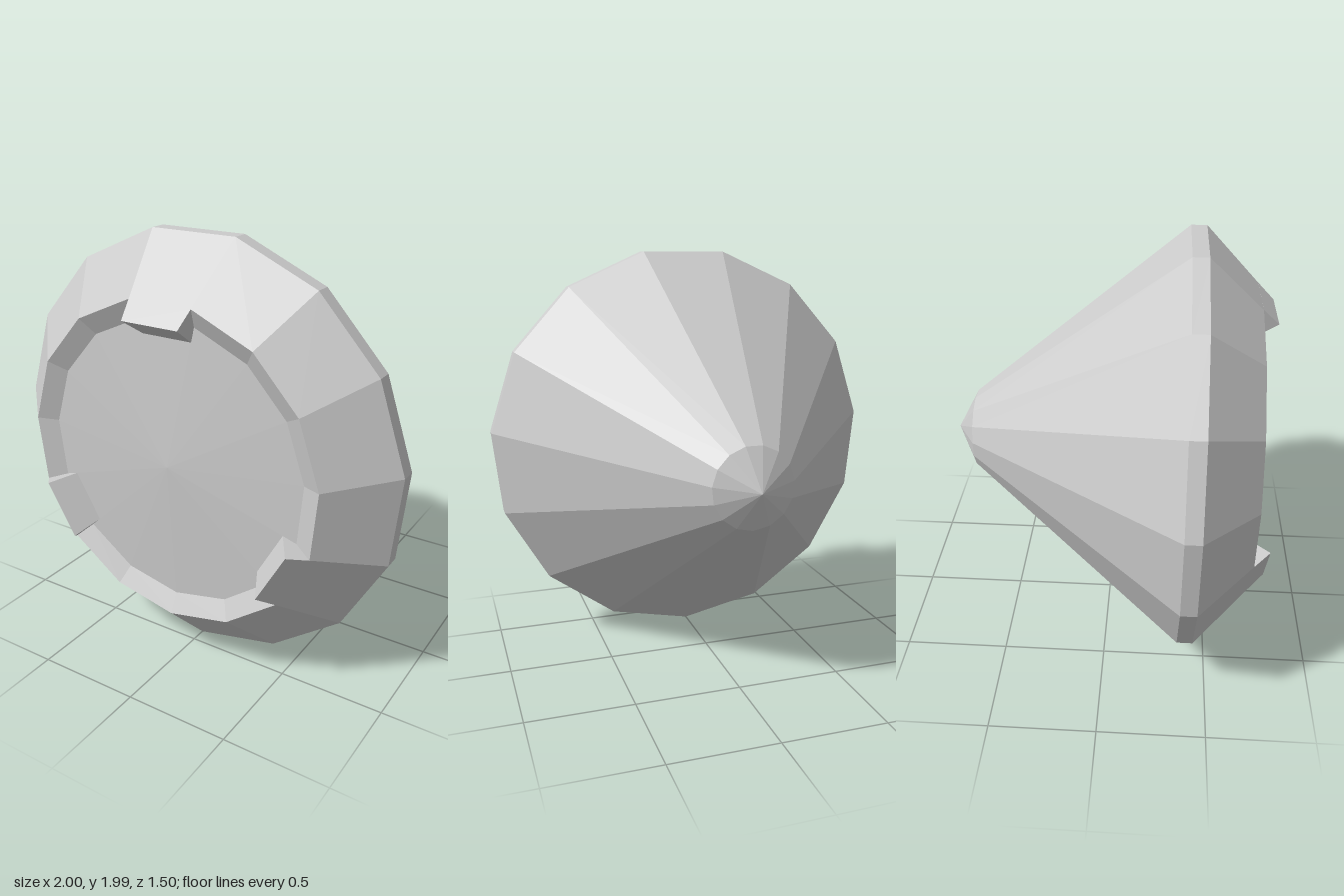
import * as THREE from 'three';
import { ConvexGeometry } from 'three/addons/geometries/ConvexGeometry.js';

const SIDES = 15;
const R = 1.0055;

export function createModel() {
  const model = new THREE.Group();
  const material = new THREE.MeshStandardMaterial({ color: 0xcccccc, flatShading: true });

  // Faceted body: [radius, z] from the rear tip round the rim to the recessed front
  const profile = [
    [0, -0.75], [0.19, -0.65], [R, 0.355], [R, 0.428],
    [0.75, 0.675], [0.66, 0.63], [0, 0.665],
  ].map(([r, z]) => new THREE.Vector2(r, z));
  const bodyGeometry = new THREE.LatheGeometry(profile, SIDES);
  bodyGeometry.rotateX(Math.PI / 2);
  const body = new THREE.Mesh(bodyGeometry, material);
  body.name = 'body';
  body.position.y = R;
  model.add(body);

  // Rim tab: tapered block continuing one rim facet, [distance from axis, z]
  const section = [[0.734, 0.675], [0.66, 0.75], [0.575, 0.625], [0.645, 0.62]];
  const taper = Math.tan(Math.PI / SIDES);
  const corners = section.flatMap(([d, z]) =>
    [-1, 1].map((s) => new THREE.Vector3(s * d * taper, d, z)));
  const tabGeometry = new ConvexGeometry(corners);

  // Three tabs evenly spaced around the rim
  ['topTab', 'rightTab', 'leftTab'].forEach((name, i) => {
    const tab = new THREE.Mesh(tabGeometry, material);
    tab.name = name;
    tab.position.y = R;
    tab.rotation.z = (i * 2 * Math.PI) / 3;
    model.add(tab);
  });

  return model;
}
